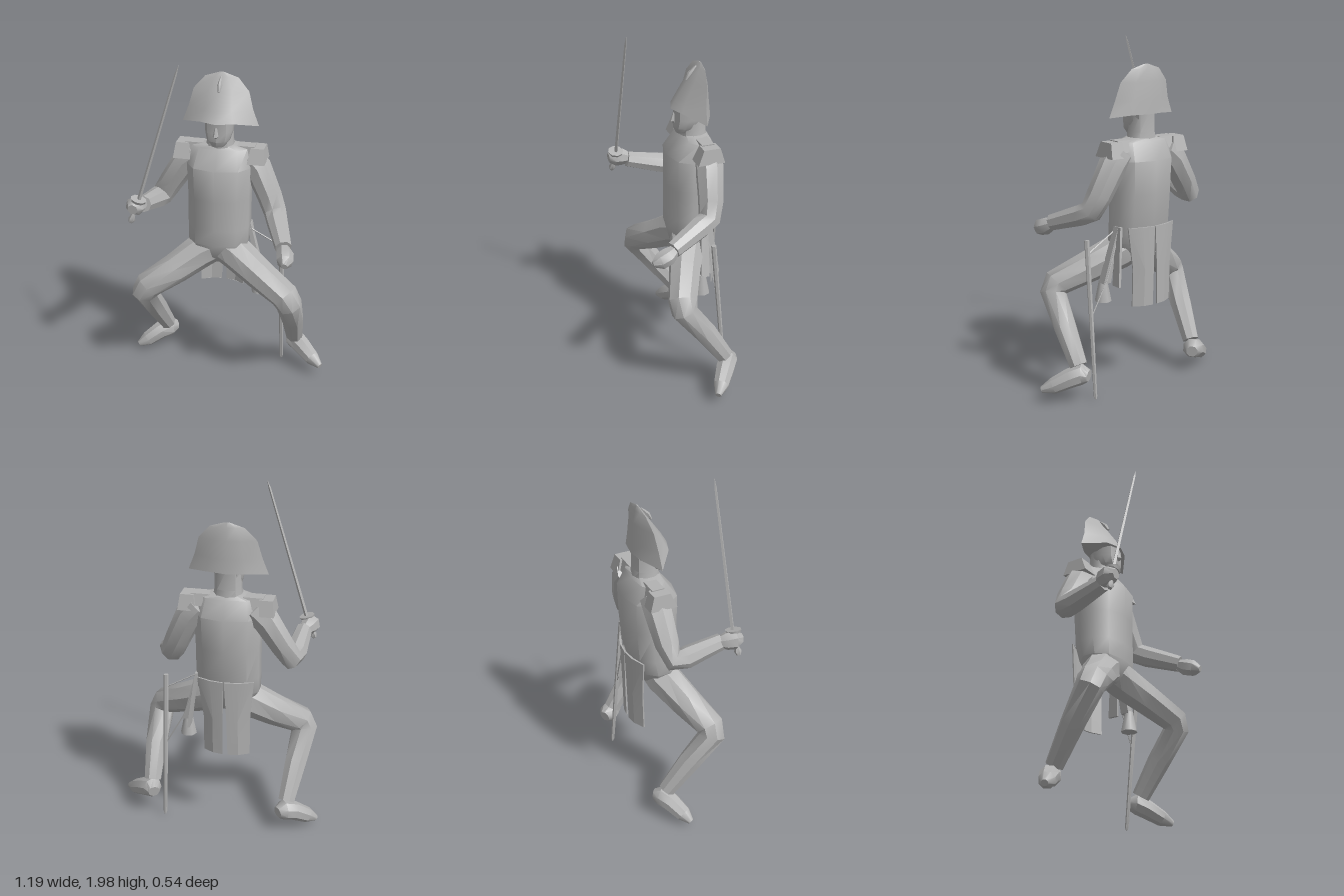
import * as THREE from 'three';
import { toCreasedNormals } from 'three/addons/utils/BufferGeometryUtils.js';

const V = (x, y, z) => new THREE.Vector3(x, y, z);

// Skin a list of equal-length rings and cap both ends
function loft(rings, crease = 0.75) {
  const n = rings[0].length, pos = [];
  const tri = (...pts) => pts.forEach(p => pos.push(p.x, p.y, p.z));
  const mid = r => r.reduce((s, p) => s.add(p), V(0, 0, 0)).divideScalar(n);
  for (let k = 0; k < rings.length - 1; k++) {
    const a = rings[k], b = rings[k + 1];
    for (let i = 0; i < n; i++) {
      const j = (i + 1) % n;
      tri(a[i], a[j], b[j]);
      tri(a[i], b[j], b[i]);
    }
  }
  const first = rings[0], last = rings[rings.length - 1], c0 = mid(first), c1 = mid(last);
  for (let i = 0; i < n; i++) {
    const j = (i + 1) % n;
    tri(c0, first[j], first[i]);
    tri(c1, last[i], last[j]);
  }
  const g = new THREE.BufferGeometry();
  g.setAttribute('position', new THREE.Float32BufferAttribute(pos, 3));
  return toCreasedNormals(g, crease);
}

// Limb through [x, y, z, radius] points
function limb(points, sides = 8) {
  const c = points.map(p => V(p[0], p[1], p[2]));
  const ref = V(0.13, 0.2, 0.97).cross(c[c.length - 1].clone().sub(c[0])).normalize();
  return loft(c.map((p, k) => {
    const d = V(0, 0, 0);
    if (k > 0) d.add(p.clone().sub(c[k - 1]).normalize());
    if (k < c.length - 1) d.add(c[k + 1].clone().sub(p).normalize());
    d.normalize();
    const u = ref.clone().addScaledVector(d, -ref.dot(d)).normalize(), v = d.clone().cross(u);
    return Array.from({ length: sides }, (_, i) => {
      const t = i / sides * Math.PI * 2, r = points[k][3];
      return p.clone().addScaledVector(u, r * Math.cos(t)).addScaledVector(v, r * Math.sin(t));
    });
  }));
}

// Upright body from [y, halfWidth, zFront, zBack] levels
const CX = -0.057;
function body(levels, sides = 10) {
  return loft(levels.map(([y, w, zf, zb]) => Array.from({ length: sides }, (_, i) => {
    const t = i / sides * Math.PI * 2;
    const s = Math.sin(t), x = Math.sign(s) * Math.pow(Math.abs(s), 0.75);
    return V(CX + w * x / 0.963, y, (zf + zb) / 2 + (zf - zb) / 2 * Math.cos(t));
  })));
}

// Four-cornered slab between two horizontal rectangles [x0, x1, y, z0, z1]
const rect = ([x0, x1, y, z0, z1]) => [V(x0, y, z0), V(x0, y, z1), V(x1, y, z1), V(x1, y, z0)];
const slab = (a, b) => loft([rect(a), rect(b)], 0.3);

export function createModel() {
  const model = new THREE.Group();
  const grey = new THREE.MeshStandardMaterial({ color: 0xb2b2b2, side: THREE.DoubleSide });
  grey.name = 'plain grey';
  const add = (name, geometry) => {
    const m = new THREE.Mesh(geometry, grey);
    m.name = name;
    model.add(m);
    return m;
  };

  // Coat and pelvis
  add('coat', body([
    [0.745, 0.05, -0.03, -0.15], [0.79, 0.12, 0.01, -0.19], [0.87, 0.175, 0.03, -0.22],
    [0.97, 0.178, 0.03, -0.25], [1.15, 0.178, 0.03, -0.265], [1.34, 0.185, 0.03, -0.27],
    [1.44, 0.16, -0.05, -0.215], [1.46, 0.08, -0.06, -0.2]]));

  // Coat tails, split at the back
  for (const [name, xi, xo, ti, to] of [
    ['rightTail', -0.08, -0.2, -0.06, -0.22], ['leftTail', -0.05, 0.065, -0.055, 0.1]]) {
    const ring = (y, a, b, z) => {
      const m = (a + b) / 2;
      return [V(a, y, z), V(m, y, z + 0.008), V(b, y, z + 0.04), V(b, y, z + 0.048), V(m, y, z + 0.016), V(a, y, z + 0.008)];
    };
    add(name, loft([ring(0.51, xi, xo, -0.255), ring(0.73, xi * 0.7 + ti * 0.3, xo, -0.26), ring(0.97, ti, to, -0.262)], 0.3));
  }

  // Neck, head and nose
  add('neck', body([[1.42, 0.085, -0.05, -0.21], [1.49, 0.072, -0.06, -0.2], [1.6, 0.07, -0.06, -0.2]]));
  add('head', body([
    [1.465, 0.035, -0.03, -0.12], [1.5, 0.065, -0.015, -0.16],
    [1.55, 0.077, -0.018, -0.195], [1.63, 0.08, -0.015, -0.205]]));
  add('nose', limb([[CX, 1.585, -0.02, 0.006], [CX, 1.54, -0.01, 0.016], [CX, 1.525, -0.02, 0.006]], 6));

  // Two-cornered hat: [y, tip drop, half width, front z, back z, tip z]
  const hat = [
    [1.61, 0.035, 0.22, 0.0, -0.21, -0.13], [1.67, 0.005, 0.185, -0.035, -0.205, -0.135],
    [1.765, 0, 0.158, -0.1, -0.195, -0.15], [1.835, 0, 0.095, -0.148, -0.182, -0.165],
    [1.86, 0, 0.015, -0.165, -0.173, -0.169]];
  add('hat', loft(hat.map(([y, drop, w, zf, zb, zt]) => {
    const p = (x, z, dy = 0) => V(CX + x * w, y - dy, z);
    const f = zf * 0.75 + zt * 0.25, b = zb * 0.75 + zt * 0.25, d = drop * 0.6;
    return [p(0, zf), p(0.42, f), p(1, zt, drop), p(0.5, b, d), p(0, zb, d), p(-0.5, b, d), p(-1, zt, drop), p(-0.42, f)];
  }), 0.6));
  add('cockade', limb([[CX, 1.765, -0.09, 0.006], [CX, 1.8, -0.112, 0.014], [CX, 1.84, -0.148, 0.004]], 6));

  // Epaulettes
  for (const [name, s] of [['leftEpaulette', 1], ['rightEpaulette', -1]]) {
    const g = new THREE.Group();
    g.name = name;
    for (const [a, b] of [
      [[0.165, 0.265, 1.365, -0.22, -0.065], [0.18, 0.255, 1.45, -0.195, -0.1]],
      [[0.1, 0.19, 1.39, -0.2, -0.1], [0.09, 0.2, 1.455, -0.18, -0.11]]]) {
      const side = ([x0, x1, ...r]) => s > 0 ? [CX + x0, CX + x1, ...r] : [CX - x1, CX - x0, ...r];
      g.add(new THREE.Mesh(slab(side(a), side(b)), grey));
    }
    model.add(g);
  }

  // Arms and hands
  add('rightArm', limb([
    [-0.2, 1.38, -0.15, 0.075], [-0.27, 1.32, -0.15, 0.08], [-0.36, 1.18, -0.145, 0.07],
    [-0.41, 1.1, -0.13, 0.065], [-0.425, 1.105, -0.06, 0.062], [-0.44, 1.155, 0.14, 0.047]]));
  add('rightHand', limb([
    [-0.445, 1.16, 0.12, 0.03], [-0.46, 1.165, 0.16, 0.05], [-0.47, 1.168, 0.205, 0.056], [-0.47, 1.165, 0.245, 0.03]], 7));
  add('leftArm', limb([
    [0.1, 1.38, -0.15, 0.075], [0.155, 1.32, -0.15, 0.08], [0.23, 1.16, -0.13, 0.072],
    [0.27, 1.07, -0.105, 0.066], [0.295, 1.04, -0.04, 0.062], [0.365, 0.975, 0.14, 0.048]]));
  add('leftHand', limb([
    [0.36, 0.975, 0.12, 0.028], [0.38, 0.95, 0.175, 0.05], [0.39, 0.935, 0.225, 0.048], [0.393, 0.925, 0.265, 0.018]], 7));

  // Legs
  add('rightLeg', limb([
    [-0.07, 0.84, -0.09, 0.1], [-0.16, 0.79, -0.065, 0.104], [-0.3, 0.69, 0.01, 0.092],
    [-0.445, 0.6, 0.085, 0.084], [-0.472, 0.55, 0.085, 0.078], [-0.445, 0.38, -0.04, 0.066], [-0.415, 0.19, -0.17, 0.05]]));
  add('leftLeg', limb([
    [-0.04, 0.84, -0.09, 0.1], [0.05, 0.8, -0.065, 0.104], [0.2, 0.72, 0.01, 0.092],
    [0.37, 0.635, 0.085, 0.084], [0.4, 0.58, 0.085, 0.076], [0.405, 0.41, -0.04, 0.066], [0.4, 0.22, -0.16, 0.052]]));

  // Shoes
  add('rightShoe', limb([
    [-0.375, 0.14, -0.23, 0.035], [-0.405, 0.145, -0.2, 0.06], [-0.46, 0.125, -0.165, 0.056],
    [-0.535, 0.075, -0.12, 0.046], [-0.585, 0.045, -0.095, 0.018]]));
  add('leftShoe', limb([
    [0.375, 0.175, -0.225, 0.035], [0.395, 0.18, -0.19, 0.06], [0.45, 0.155, -0.15, 0.056],
    [0.525, 0.11, -0.095, 0.046], [0.58, 0.085, -0.055, 0.018]]));

  // Sword: blade, grip, pommel and cross guard
  add('swordBlade', limb([[-0.447, 1.2, 0.205, 0.011], [-0.215, 1.95, 0.2, 0.007], [-0.2, 1.995, 0.2, 0.001]], 4));
  add('swordGrip', limb([
    [-0.493, 1.075, 0.222, 0.012], [-0.485, 1.095, 0.22, 0.021], [-0.477, 1.12, 0.217, 0.012], [-0.447, 1.21, 0.205, 0.013]], 6));
  const guard = add('swordGuard', new THREE.CylinderGeometry(0.046, 0.04, 0.016, 8));
  guard.position.set(-0.447, 1.208, 0.207);
  guard.rotation.z = -0.3;

  // Scabbard with hanging straps
  add('scabbard', limb([[0.31, 0.915, -0.12, 0.015], [0.312, 0.45, -0.163, 0.013], [0.315, 0.03, -0.2, 0.011], [0.315, 0.012, -0.203, 0.006]], 6));
  add('frontStrap', limb([[0.11, 0.95, -0.12, 0.004], [0.308, 0.84, -0.128, 0.004]], 4));
  add('rearStrap', limb([[0.11, 0.94, -0.15, 0.004], [0.2, 0.68, -0.16, 0.004], [0.312, 0.48, -0.16, 0.004]], 4));

  // Sash ends with a bell tassel
  add('sashFront', slab([0.16, 0.21, 0.65, -0.14, -0.09], [0.11, 0.125, 0.97, -0.16, -0.12]));
  add('sashRear', slab([0.15, 0.165, 0.64, -0.22, -0.16], [0.11, 0.125, 0.97, -0.18, -0.14]));
  const tassel = add('tassel', new THREE.CylinderGeometry(0.024, 0.048, 0.12, 8));
  tassel.position.set(0.186, 0.6, -0.1);

  return model;
}
